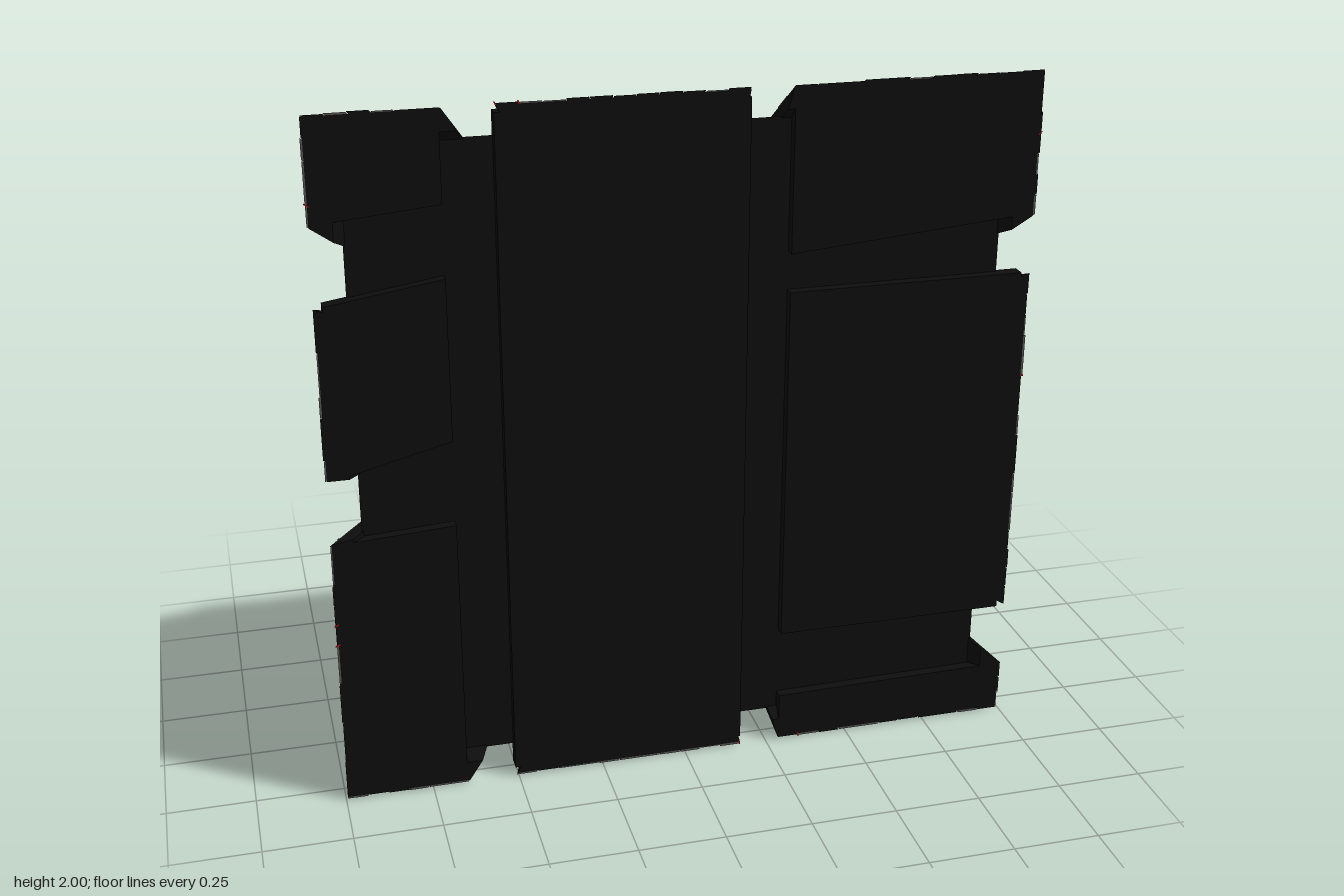
import * as THREE from 'three';
import { mergeGeometries } from 'three/addons/utils/BufferGeometryUtils.js';

const mat = (color) => new THREE.MeshStandardMaterial({ color, flatShading: true });
const DARK = mat(0x0e0e0e), GREY = mat(0x585454), RED = mat(0xd80818);

let seed = 7;
const rnd = () => (seed = (seed * 16807) % 2147483647) / 2147483647;

// A block whose corners (u, h, v) are sent through a mapping rule.
function block(map, u0, u1, h0, h1, v0, v1) {
  const g = new THREE.BoxGeometry(1, 1, 1).toNonIndexed();
  const p = g.attributes.position;
  for (let i = 0; i < p.count; i++) {
    const u = p.getX(i) < 0 ? u0 : u1;
    const h = p.getY(i) < 0 ? h0 : h1;
    const v = p.getZ(i) < 0 ? v0 : v1;
    p.setXYZ(i, ...map(u, h, v));
  }
  g.deleteAttribute('uv');
  g.computeVertexNormals();
  return g;
}

// Sloped face: u is the fraction across, h the height above it, v the depth z.
const slope = (u, h, v) => [u * (0.68 + v + h), 0.68 + v + h, v];
// Small rear square.
const rear = (u, h, v) => [u * 0.37, v * 0.37, -0.301 - h];

// Mosaic of thin tiles with a few red seams.
function mosaic(out, map, u0, u1, v0, v1, cols, rows) {
  const du = (u1 - u0) / cols, dv = (v1 - v0) / rows;
  for (let r = 0; r < rows; r++) {
    for (let c = 0; c < cols;) {
      const n = Math.min(cols - c, rnd() < 0.3 ? 2 : 1);
      const a = u0 + c * du, b = a + n * du;
      const v = v0 + r * dv, w = v + dv;
      const top = 0.003 + rnd() * 0.005;
      const gu = du * 0.02, gv = dv * 0.02;
      (rnd() < 0.4 ? out.grey : out.dark)
        .push(block(map, a + gu, b - gu, -0.004, top, v + gv, w - gv));
      const k = rnd();
      if (k < 0.1) out.red.push(block(map, a - gu, a + gu * 2, -0.004, 0.009, v, w));
      else if (k < 0.18) out.red.push(block(map, a, b, -0.004, 0.009, v + gv, v + gv * 3));
      c += n;
    }
  }
}

function addMerged(group, name, list, material) {
  if (!list.length) return;
  const m = new THREE.Mesh(mergeGeometries(list), material);
  m.name = name;
  group.add(m);
}

function addMosaic(group, out) {
  addMerged(group, 'darkTiles', out.dark, DARK);
  addMerged(group, 'greyTiles', out.grey, GREY);
  addMerged(group, 'redSeams', out.red, RED);
}

// Depth range and tile rows of the three tiers.
const TIERS = [[0.11, 0.31, 5], [-0.105, 0.085, 6], [-0.305, -0.14, 5]];

// For each face: turn about z, then the open channels in every tier.
const FACES = [
  ['topSlope', 0, [[[-0.65, -0.51], [0.17, 0.29]], [[-0.12, 0.06]], [[-0.55, -0.42], [0.22, 0.4]]]],
  ['rightSlope', Math.PI / 2, [[[-0.19, 0], [0.49, 0.71]], [[-0.1, 0.1]], [[0.05, 0.22]]]],
  ['bottomSlope', Math.PI, [[[-0.29, -0.17], [0.51, 0.65]], [[-0.08, 0.1]], [[-0.2, -0.04]]]],
  ['leftSlope', -Math.PI / 2, [[[-0.59, -0.42], [0.64, 0.84]], [[0.05, 0.25]], [[-0.7, -0.5]]]],
];

function makeSlope(name, turn, channels) {
  const group = new THREE.Group();
  group.name = name;
  group.rotation.z = turn;
  const panels = [], out = { dark: [], grey: [], red: [] };
  TIERS.forEach(([v0, v1, rows], t) => {
    const cuts = [-1, ...channels[t].flat(), 1];
    for (let i = 0; i < cuts.length; i += 2) {
      const a = cuts[i], b = cuts[i + 1];
      panels.push(block(slope, a, b, -0.06, 0, v0, v1));
      const width = (b - a) * (0.68 + v1);
      mosaic(out, slope, a, b, v0, v1, Math.max(2, Math.round(width / 0.062)), rows);
    }
  });
  addMerged(group, 'slopePanels', panels, DARK);
  addMosaic(group, out);
  return group;
}

// Front plates: x0, x1, then bottom and top heights at each end (centred on 0).
const PLATES = [
  [-0.97, -0.65, 0.71, 0.74, 0.97, 0.97],
  [-0.97, -0.65, 0, 0.08, 0.49, 0.54],
  [-0.97, -0.65, -0.97, -0.97, -0.19, -0.17],
  [-0.51, 0.17, -0.97, -0.97, 0.97, 0.97],
  [0.29, 0.97, 0.53, 0.59, 0.97, 0.97],
  [0.29, 0.97, -0.64, -0.64, 0.42, 0.42],
  [0.29, 0.97, -0.97, -0.97, -0.85, -0.84],
];

export function createModel() {
  const model = new THREE.Group();
  const body = new THREE.Group();
  body.name = 'panelledFrustum';
  body.position.y = 1;
  model.add(body);

  // Recessed core seen in the channels
  const q = Math.SQRT2;
  const coreGeo = new THREE.CylinderGeometry(0.905 * q, 0.335 * q, 0.57, 4)
    .rotateY(Math.PI / 4).rotateX(Math.PI / 2).translate(0, 0, -0.005);
  const core = new THREE.Mesh(coreGeo, DARK);
  core.name = 'core';
  body.add(core);

  // Four sloped sides
  for (const face of FACES) body.add(makeSlope(...face));

  // Front plates
  const front = PLATES.map(([x0, x1, b0, b1, t0, t1]) => {
    const s = new THREE.Shape([
      new THREE.Vector2(x0, b0), new THREE.Vector2(x1, b1),
      new THREE.Vector2(x1, t1), new THREE.Vector2(x0, t0),
    ]);
    return new THREE.ExtrudeGeometry(s, { depth: 0.04, bevelEnabled: false }).translate(0, 0, 0.27);
  });
  addMerged(body, 'frontPlates', front, DARK);

  // Rear square with larger tiles
  const cap = new THREE.Group();
  cap.name = 'rearPanel';
  const out = { dark: [], grey: [], red: [] };
  addMerged(cap, 'rearPlate', [block(rear, -1, 1, -0.02, 0, -1, 1)], DARK);
  mosaic(out, rear, -1, 1, -1, 1, 8, 7);
  addMosaic(cap, out);
  body.add(cap);

  return model;
}
